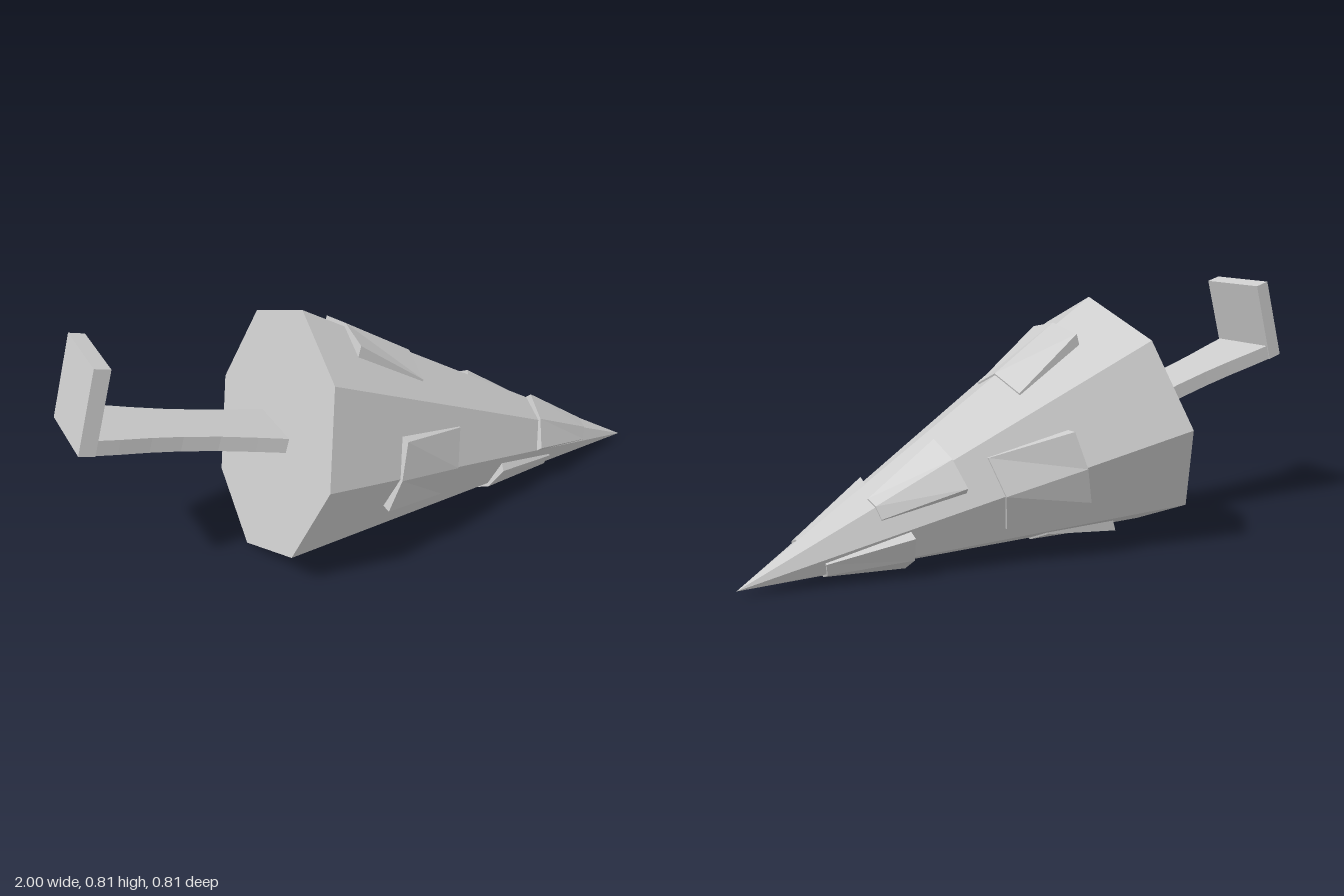
import * as THREE from 'three';

const material = new THREE.MeshStandardMaterial({ color: 0xcccccc, flatShading: true });

const RADIUS = 0.405, LENGTH = 1.41, TILT = 0.274;
const coneRadius = (s) => RADIUS * (1 - s / LENGTH);

// Closed solid through cross-sections ordered along +x; each is a loop of [x, y, z]
function loft(sections) {
  const pos = [];
  const tri = (a, b, c) => pos.push(...a, ...b, ...c);
  const n = sections[0].length;
  for (let k = 0; k < sections.length - 1; k++) {
    const A = sections[k], B = sections[k + 1];
    for (let i = 0; i < n; i++) {
      const j = (i + 1) % n;
      tri(A[i], A[j], B[j]);
      tri(A[i], B[j], B[i]);
    }
  }
  const first = sections[0], last = sections[sections.length - 1];
  for (let i = 1; i < n - 1; i++) {
    const a = (1 + i) % n, b = (2 + i) % n;
    tri(last[1], last[a], last[b]);
    tri(first[1], first[b], first[a]);
  }
  const g = new THREE.BufferGeometry();
  g.setAttribute('position', new THREE.Float32BufferAttribute(pos, 3));
  g.computeVertexNormals();
  return g;
}

// Plate folded over one ridge of the cone, with its underside sunk into the body
function plateGeometry(start, rearHalf, frontHalf) {
  const section = (s, proud, half, drop, sink) => {
    const r = coneRadius(s) + proud;
    return [
      [s, r - drop, -half], [s, r, 0], [s, r - drop, half],
      [s, r - drop - sink, half], [s, r - sink, 0], [s, r - drop - sink, -half],
    ];
  };
  return loft([
    section(start, 0.012, rearHalf, 0.025, 0.045),
    section(start + 0.255, 0.006, frontHalf, frontHalf * 0.414, 0.025),
  ]);
}

export function createModel() {
  const model = new THREE.Group();
  model.name = 'spikedCone';

  // Everything is built along +x, then tipped so the point rests near the ground
  const body = new THREE.Group();
  body.name = 'tiltedBody';
  body.position.set(-0.36, 0.41, 0);
  body.rotation.z = -TILT;
  model.add(body);

  const add = (name, geometry) => {
    const mesh = new THREE.Mesh(geometry, material);
    mesh.name = name;
    body.add(mesh);
    return mesh;
  };

  // Eight-sided cone
  const cone = new THREE.ConeGeometry(RADIUS, LENGTH, 8);
  cone.rotateZ(-Math.PI / 2);
  cone.translate(LENGTH / 2, 0, 0);
  add('cone', cone);

  // One plate per ridge: [angle from top, start along axis]
  const plates = [
    [0, 0.158], [90, 0.285], [180, 0.18], [-90, 0.355],
    [45, 0.938], [-45, 0.71], [135, 0.78], [-135, 0.9],
  ];
  for (const [angle, start] of plates) {
    const wide = angle % 90 === 0;
    const plate = add('ridgePlate', plateGeometry(start, wide ? 0.12 : 0.097, wide ? 0.12 : 0.04));
    plate.rotation.x = THREE.MathUtils.degToRad(angle);
  }

  // Handle shaft, slightly waisted: [position along axis, half width]
  const h = 0.024;
  const waist = [
    [-0.62, 0.122], [-0.54, 0.114], [-0.44, 0.101], [-0.34, 0.093],
    [-0.22, 0.091], [-0.1, 0.097], [0.01, 0.105],
  ];
  add('handleShaft', loft(waist.map(([s, w]) => [[s, h, -w], [s, h, w], [s, -h, w], [s, -h, -w]])));

  // Upright grip at the end of the shaft
  const grip = new THREE.BoxGeometry(0.05, 0.269, 0.25);
  grip.translate(-0.634, 0.1105, 0);
  add('handleGrip', grip);

  return model;
}
